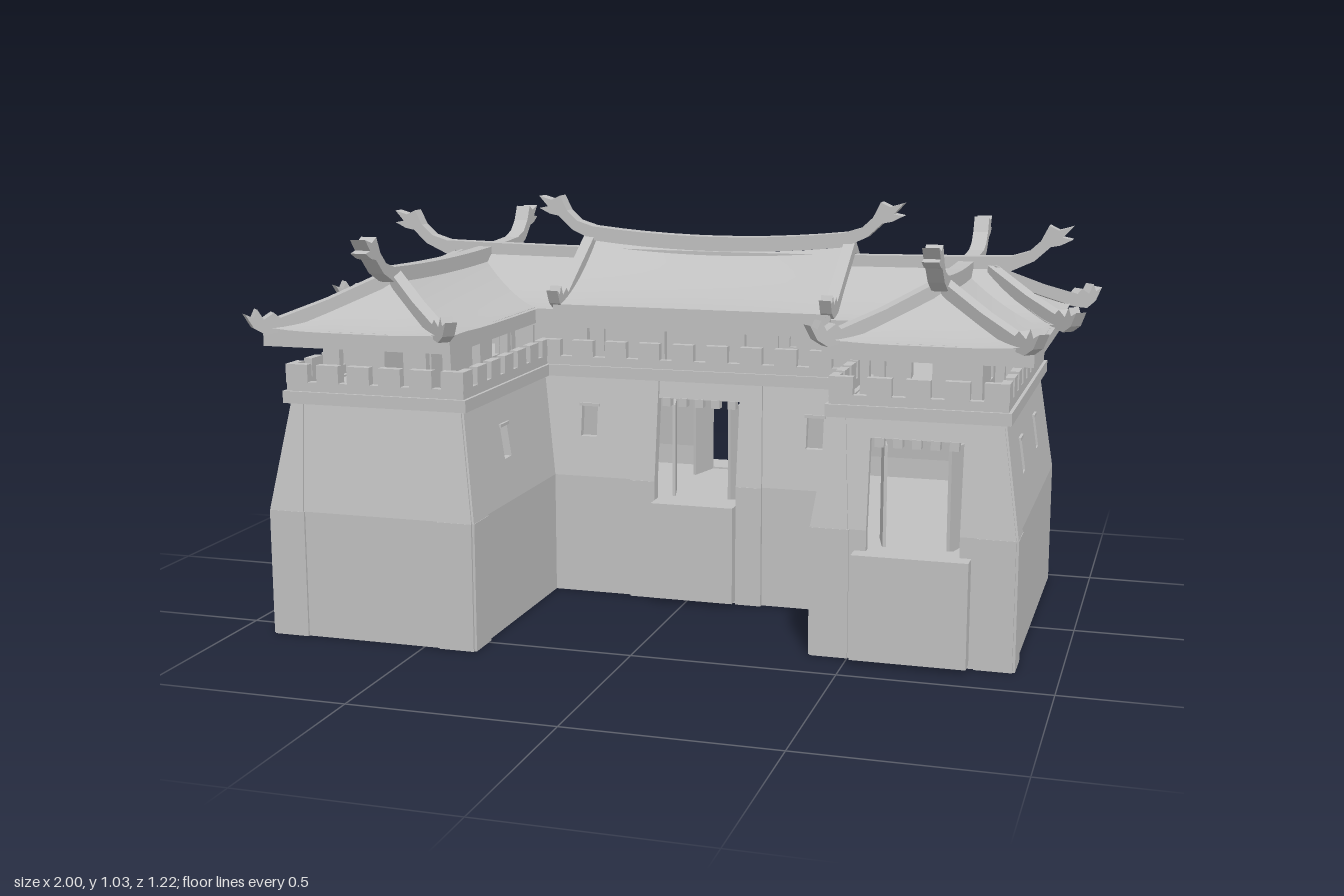
import * as THREE from 'three';

const stone = new THREE.MeshStandardMaterial({ color: 0xc0c0c0, side: THREE.DoubleSide });
stone.name = 'grey stone';
const V2 = (x, y) => new THREE.Vector2(x, y);
const STEP = 0.315, TOP = 0.58;

// U-shaped plan as [x, z] corners: foot of the walls, top of the taper, inner gallery
const foot = [[-0.9, 0.575], [-0.37, 0.575], [-0.37, 0.01], [0.41, 0.01], [0.41, 0.37], [0.89, 0.37], [0.89, -0.47], [-0.9, -0.47]];
const head = [[-0.855, 0.53], [-0.41, 0.53], [-0.41, -0.03], [0.45, -0.03], [0.45, 0.33], [0.85, 0.33], [0.85, -0.44], [-0.855, -0.44]];
const gallery = [[-0.76, 0.43], [-0.53, 0.43], [-0.53, -0.12], [0.55, -0.12], [0.55, 0.23], [0.78, 0.23], [0.78, -0.35], [-0.76, -0.35]];

// Openings per wall: window centres along the wall, door span, which ends carry piers
const walls = [
  { windows: [], piers: [1, 1] },
  { windows: [0.275], piers: [1, 0] },
  { windows: [0.09, 0.70], door: [0.28, 0.50], piers: [0, 0], flank: true },
  { windows: [], piers: [0, 1] },
  { windows: [], door: [0.13, 0.35], piers: [1, 1] },
  { windows: [0.27, 0.57], piers: [1, 0] },
  { windows: [0.25, 0.57, 1.17, 1.54], door: [0.76, 0.98], piers: [0, 0], flank: true },
  { windows: [0.27, 0.57, 0.87], piers: [0, 1] },
];
const galleryWindows = [[0.13], [0.41], [0.28, 0.76], [0.14], [0.09], [0.21, 0.45], [0.14, 0.57, 1.03, 1.41], [0.13, 0.37]];

function add(parent, name, geo, x = 0, y = 0, z = 0, ry = 0) {
  const m = new THREE.Mesh(geo, stone);
  m.name = name;
  m.position.set(x, y, z);
  m.rotation.y = ry;
  parent.add(m);
  return m;
}
const box = (p, name, w, h, d, x, y, z, ry = 0) => add(p, name, new THREE.BoxGeometry(w, h, d), x, y + h / 2, z, ry);

// Local frame of a wall: u along it, +z outwards
function wallFrame(parent, a, b, name) {
  const g = new THREE.Group();
  const dx = b[0] - a[0], dz = b[1] - a[1];
  g.name = name;
  g.position.set(a[0], 0, a[1]);
  g.rotation.y = Math.atan2(-dz, dx);
  parent.add(g);
  const len = Math.hypot(dx, dz), ux = dx / len, uz = dz / len;
  const local = p => [(p[0] - a[0]) * ux + (p[1] - a[1]) * uz, -(p[0] - a[0]) * uz + (p[1] - a[1]) * ux];
  return { g, len, local };
}

// Upright slab, its face leaning by `lean` per unit of height above the step
function panel(parent, name, pts, holes = [], lean = 0, proud = 0, depth = 0.02) {
  const shape = new THREE.Shape(pts.map(p => V2(...p)));
  for (const [u0, u1, y0, y1] of holes) {
    shape.holes.push(new THREE.Path([V2(u0, y0), V2(u0, y1), V2(u1, y1), V2(u1, y0)]));
  }
  const geo = new THREE.ExtrudeGeometry(shape, { depth, bevelEnabled: false });
  const p = geo.attributes.position;
  for (let i = 0; i < p.count; i++) p.setZ(i, p.getZ(i) - depth + proud + lean * (p.getY(i) - STEP));
  geo.computeVertexNormals();
  return add(parent, name, geo);
}

function buildWall(root, i) {
  const j = (i + 1) % 8, w = walls[i];
  const { g, len, local } = wallFrame(root, foot[i], foot[j], 'wall');
  const [ta, tz] = local(head[i]), [tb] = local(head[j]);
  const lean = tz / (TOP - STEP);
  const low = [[0, 0], [len, 0], [len, STEP]], high = [[0, STEP]];
  if (w.door) {
    const [d0, d1] = w.door, mid = (d0 + d1) / 2, wide = d1 - d0;
    low.push([d1, STEP], [d1, 0.26], [d0, 0.26], [d0, STEP]);
    high.push([d0, STEP], [d0, 0.53], [d1, 0.53], [d1, STEP]);
    box(g, 'doorBlock', w.flank ? wide : 0.275, 0.255, 0.1, mid, 0.01, -0.005);
    for (let k = 0; k < 5; k++) box(g, 'lintelTooth', 0.022, 0.022, 0.025, d0 + wide * (k + 0.5) / 5, 0.51, -0.04);
    for (const s of [-1, 1]) {
      box(g, 'doorLeaf', 0.1, 0.25, 0.008, mid + s * (wide / 2 - 0.022), 0.26, -0.1, s * (Math.PI / 2 - 0.25));
      if (w.flank) {
        const a = mid + s * wide / 2, b = a + s * 0.068;
        panel(g, 'doorPier', [[a, 0], [b, 0], [b, STEP], [a, STEP]], [], 0, 0.012);
        panel(g, 'doorPierUpper', [[a, STEP], [b, STEP], [b - s * 0.01, TOP], [a, TOP]], [], lean, 0.01);
      }
    }
  }
  low.push([0, STEP]);
  high.push([len, STEP], [tb, TOP], [ta, TOP]);
  panel(g, 'lowerWall', low);
  panel(g, 'upperWall', high, w.windows.map(u => [u - 0.022, u + 0.022, 0.42, 0.5]), lean);
  for (const u of w.windows) box(g, 'windowSill', 0.055, 0.008, 0.02, u, 0.5, lean * 0.185 - 0.005);

  // Corner piers, narrowing upwards
  w.piers.forEach((on, e) => {
    if (!on) return;
    const a = e ? len : 0, s = e ? -1 : 1, t = e ? tb : ta;
    panel(g, 'cornerPier', [[a, 0], [a + s * 0.09, 0], [a + s * 0.09, STEP], [a, STEP]], [], 0, 0.006);
    panel(g, 'cornerPierUpper', [[a, STEP], [a + s * 0.087, STEP], [t + s * 0.03, TOP], [t, TOP]], [], lean, 0.005);
  });

  // Band and battlements
  const top = wallFrame(root, head[i], head[j], 'battlement');
  const L = top.len;
  box(top.g, 'band', L + 0.036, 0.03, 0.04, L / 2, 0.577, -0.002);
  box(top.g, 'parapet', L + 0.02, 0.025, 0.02, L / 2, 0.605, 0);
  const n = Math.max(3, Math.round(L / 0.095));
  for (let k = 0; k <= n; k++) box(top.g, 'merlon', 0.058, 0.045, 0.022, 0.018 + (L - 0.036) * k / n, 0.628, 0);

  // Gallery wall and posts
  const up = wallFrame(root, gallery[i], gallery[j], 'gallery');
  panel(up.g, 'galleryWall', [[0, 0.6], [up.len, 0.6], [up.len, 0.74], [0, 0.74]],
    galleryWindows[i].map(u => [u - 0.025, u + 0.025, 0.63, 0.7]), 0, 0, 0.012);
  const m = Math.max(1, Math.round(up.len / 0.22));
  for (let k = 0; k <= m; k++) box(up.g, 'galleryPost', 0.022, 0.13, 0.022, up.len * k / m, 0.6, 0.045);
}

// Curved roof plane between a ridge edge (a, b) and an eave edge (c, d)
function roof(parent, name, a, b, c, d, sagRidge = 0, sagSlope = 0.022, lift = 0) {
  const n = 12, pos = [], idx = [];
  const A = [a, b, c, d].map(p => new THREE.Vector3(...p));
  for (let i = 0; i <= n; i++) for (let k = 0; k <= n; k++) {
    const t = i / n, s = k / n;
    const p = A[0].clone().lerp(A[1], s).lerp(A[2].clone().lerp(A[3], s), t);
    p.y += -sagRidge * 4 * s * (1 - s) * (1 - t) - sagSlope * 4 * t * (1 - t) + lift * (2 * s - 1) ** 4 * t ** 3;
    pos.push(p.x, p.y, p.z);
    if (i < n && k < n) {
      const o = i * (n + 1) + k;
      idx.push(o, o + n + 1, o + 1, o + 1, o + n + 1, o + n + 2);
    }
  }
  const geo = new THREE.BufferGeometry();
  geo.setAttribute('position', new THREE.Float32BufferAttribute(pos, 3));
  geo.setIndex(idx);
  geo.computeVertexNormals();
  add(parent, name, geo);
}

function slab(parent, name, pts, width, x, y, z, ry) {
  const geo = new THREE.ExtrudeGeometry(new THREE.Shape(pts.map(p => V2(...p))), { depth: width, bevelEnabled: false });
  geo.translate(0, 0, -width / 2);
  add(parent, name, geo, x, y, z, ry);
}

// Sagging ridge beam with a forked, upswept horn at both ends
const horn = [[0, -0.02], [0.06, 0.008], [0.1, 0.045], [0.125, 0.05], [0.155, 0.065], [0.13, 0.07], [0.155, 0.098],
  [0.12, 0.088], [0.095, 0.1], [0.085, 0.08], [0.075, 0.06], [0.045, 0.032], [0, 0.018]];
function ridge(parent, half, sag, x, y, z, ry, width = 0.04) {
  const pts = [], mid = [];
  for (let k = 1; k < 10; k++) mid.push([half * (1 - k / 5), -sag * (1 - (1 - k / 5) ** 2)]);
  pts.push(...horn.map(([u, v]) => [half + u, v]));
  pts.push(...mid.map(([u, v]) => [u, v + 0.018]));
  pts.push(...horn.slice().reverse().map(([u, v]) => [-half - u, v]));
  pts.push(...mid.reverse().map(([u, v]) => [u, v - 0.02]));
  slab(parent, 'ridge', pts, width, x, y, z, ry);
}

// Descending ridge with a curled, notched tip
function hip(parent, [x0, y0, z0], [x1, y1, z1], width = 0.03) {
  const L = Math.hypot(x1 - x0, z1 - z0), d = y0 - y1;
  slab(parent, 'hipRidge', [[0, -0.02], [L * 0.45, -d * 0.58 - 0.018], [L - 0.09, -d - 0.012], [L - 0.05, -d - 0.018], [L - 0.02, -d],
    [L, -d + 0.035], [L - 0.02, -d + 0.025], [L - 0.03, -d + 0.045], [L - 0.045, -d + 0.02], [L - 0.07, -d + 0.035],
    [L - 0.085, -d + 0.022], [L * 0.45, -d * 0.58 + 0.014], [0, 0.015]], width, x0, y0, z0, Math.atan2(z0 - z1, x1 - x0));
}

function buildWing(parent, s, end) {
  const cx = 0.67 * s, w = 0.255, apex = end - 0.23, y = 0.87, e = 0.757, back = -0.46;
  const g = new THREE.Group();
  g.name = s < 0 ? 'longWingRoof' : 'shortWingRoof';
  parent.add(g);
  for (const k of [-1, 1]) {
    roof(g, 'wingRoof', [cx, y, back], [cx, y, apex], [cx + k * w, e, back], [cx + k * w, e, end], 0.008, 0.02, 0.012);
    hip(g, [cx, y + 0.005, apex], [cx + k * (w + 0.015), 0.765, end + 0.035]);
  }
  roof(g, 'wingHip', [cx, y, apex], [cx, y, apex], [cx - w, e, end], [cx + w, e, end], 0, 0.02, 0.012);
  roof(g, 'wingGable', [cx, y, back], [cx, y, back], [cx - w, e, back], [cx + w, e, back], 0, 0.015);
  box(g, 'wingEaves', 2 * w - 0.02, 0.042, end - back - 0.02, cx, 0.717, (end + back) / 2);
  const r0 = -0.455, r1 = end - 0.195;
  ridge(g, (r1 - r0) / 2, 0.012, cx, 0.88, (r0 + r1) / 2, Math.PI / 2);
}

export function createModel() {
  const root = new THREE.Group();
  root.name = 'fortifiedGatehouse';
  for (let i = 0; i < 8; i++) buildWall(root, i);

  // Inner floors: raised ground floor and gallery deck
  for (const [y, h, m] of [[0.25, 0.01, 0.02], [0.578, 0.025, 0.06]]) {
    box(root, 'hallFloor', 1.79 - 2 * m, h, 0.48 - 2 * m, -0.005, y, -0.23);
    box(root, 'longWingFloor', 0.53 - 2 * m, h, 0.7 - m, -0.635, y, 0.225 - m / 2);
    box(root, 'shortWingFloor', 0.48 - 2 * m, h, 0.5 - m, 0.65, y, 0.12 - m / 2);
  }

  // Hall roof with hipped ends and a raised middle
  const zc = -0.25, y = 0.87, e = 0.757;
  box(root, 'hallEaves', 1.81, 0.045, 0.46, 0, 0.712, -0.235);
  for (const z of [0.005, -0.475]) {
    roof(root, 'hallRoof', [-0.75, y, zc], [0.75, y, zc], [-0.92, e, z], [0.92, e, z], 0.005, 0.02, 0.01);
    roof(root, 'middleRoof', [-0.36, 0.915, -0.27], [0.36, 0.915, -0.27], [-0.36, 0.772, z > 0 ? 0.015 : -0.49],
      [0.36, 0.772, z > 0 ? 0.015 : -0.49], 0.022, 0.02);
    box(root, 'middleEave', 0.74, 0.06, 0.02, 0, 0.712, z > 0 ? 0.002 : -0.475);
  }
  for (const s of [-1, 1]) {
    roof(root, 'hallHip', [s * 0.75, y, zc], [s * 0.75, y, zc], [s * 0.92, e, 0.005], [s * 0.92, e, -0.475], 0, 0.015, 0.01);
    roof(root, 'middleGable', [s * 0.36, 0.915, -0.27], [s * 0.36, 0.915, -0.27], [s * 0.36, 0.765, 0.015], [s * 0.36, 0.765, -0.49], 0, 0.02);
    for (const z of [0.035, -0.515]) {
      hip(root, [s * 0.74, 0.865, -0.25], [s * 0.99, 0.768, z]);
      hip(root, [s * 0.362, 0.92, -0.27], [s * 0.362, 0.775, z + (z > 0 ? 0.005 : -0.015)]);
    }
  }
  ridge(root, 0.785, 0.01, 0, 0.885, -0.275, 0);
  ridge(root, 0.35, 0.02, 0, 0.935, -0.275, 0, 0.045);

  buildWing(root, -1, 0.565);
  buildWing(root, 1, 0.37);
  return root;
}
